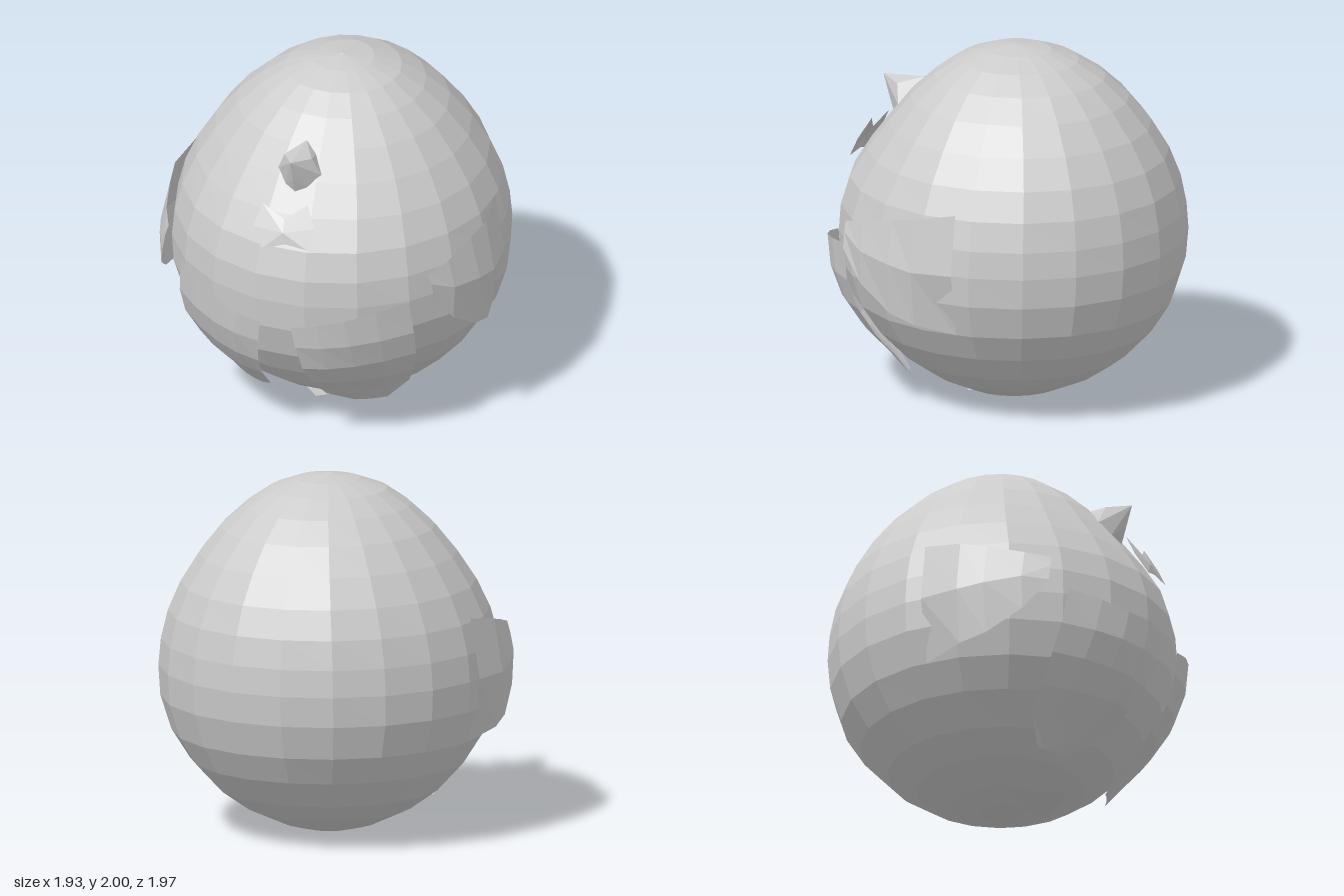
import * as THREE from 'three';
import { ConvexGeometry } from 'three/addons/geometries/ConvexGeometry.js';

const solid = new THREE.MeshStandardMaterial({ color: 0xcccccc, flatShading: true });
const sheet = new THREE.MeshStandardMaterial({ color: 0xcccccc, flatShading: true, side: THREE.DoubleSide });

function buildGeometry(points, index) {
  const g = new THREE.BufferGeometry();
  g.setAttribute('position', new THREE.Float32BufferAttribute(points.flat(), 3));
  g.setIndex(index);
  g.computeVertexNormals();
  return g;
}

// Surface through rows of points, top row first, each row running left to right
function loft(rows) {
  const n = rows[0].length, index = [];
  for (let j = 0; j < rows.length - 1; j++) {
    for (let i = 0; i < n - 1; i++) {
      const a = j * n + i, b = a + n;
      index.push(a, b, b + 1, a, b + 1, a + 1);
    }
  }
  return buildGeometry(rows.flat(), index);
}

function part(name, geometry, material) {
  const mesh = new THREE.Mesh(geometry, material);
  mesh.name = name;
  return mesh;
}

const mirror = rows => rows.map(r => r.map(([x, y, z]) => [-x, y, z]).reverse());

// Egg body rings: height, half width, back z, front z
const RINGS = [
  [2.0, 0.005, -0.035, -0.025], [1.975, 0.17, -0.24, 0.12], [1.92, 0.32, -0.39, 0.27],
  [1.83, 0.45, -0.54, 0.40], [1.71, 0.58, -0.67, 0.53], [1.56, 0.70, -0.79, 0.65],
  [1.4, 0.80, -0.885, 0.77], [1.24, 0.87, -0.945, 0.87], [1.08, 0.91, -0.975, 0.92],
  [0.93, 0.925, -0.985, 0.93], [0.76, 0.915, -0.97, 0.92], [0.57, 0.855, -0.91, 0.86],
  [0.41, 0.755, -0.81, 0.75], [0.25, 0.61, -0.66, 0.59], [0.14, 0.46, -0.50, 0.43],
  [0.05, 0.27, -0.30, 0.24], [0.01, 0.12, -0.15, 0.09], [0.005, 0.003, -0.033, -0.027],
];

function bodyRows() {
  const cz = -0.03, sides = 20;
  return RINGS.map(([y, w, back, front]) => {
    const row = [];
    for (let i = 0; i <= sides; i++) {
      const t = ((i + 0.5) / sides) * Math.PI * 2;
      const c = Math.cos(t), depth = c > 0 ? front - cz : cz - back;
      row.push([Math.sin(t) * w * 1.01, y, cz + c * depth * 1.01]);
    }
    return row;
  });
}

// Foot panel: inner and outer edge of each row, and the forward bulge between them
const FOOT = [
  [[0.09, 0.82, 0.99], [0.67, 0.945, 0.695], 0.08],
  [[0.11, 0.69, 0.97], [0.69, 0.74, 0.66], 0.08],
  [[0.13, 0.53, 0.91], [0.68, 0.58, 0.60], 0.07],
  [[0.145, 0.40, 0.81], [0.63, 0.42, 0.51], 0.06],
  [[0.165, 0.24, 0.63], [0.57, 0.30, 0.42], 0.04],
  [[0.27, 0.14, 0.47], [0.43, 0.15, 0.39], 0.01],
];

function footRows() {
  return FOOT.map(([a, b, bulge]) => [0, 0.25, 0.5, 0.75, 1].map(t => {
    const p = a.map((v, k) => v + (b[k] - v) * t);
    p[2] += bulge * 4 * t * (1 - t);
    return p;
  }));
}

// Flipper columns from front to back: z, then [x, y] of top, middle and bottom
const WING = [
  [0.635, [0.765, 1.11], [0.785, 1.05], [0.80, 0.96]],
  [0.50, [0.83, 1.14], [0.87, 0.98], [0.86, 0.79]],
  [0.30, [0.885, 1.19], [0.94, 0.95], [0.91, 0.66]],
  [0.15, [0.915, 1.225], [0.965, 0.93], [0.925, 0.62]],
  [-0.08, [0.88, 1.265], [0.935, 0.93], [0.86, 0.57]],
];

const wingRows = () => [1, 2, 3].map(k => WING.map(col => [...col[k], col[0]]));

function beakGeometry() {
  const pts = [[0, 1.72, 0.76], [0, 1.735, 0.51], [0, 1.6, 0.725], [0, 1.48, 0.68]];
  for (const s of [-1, 1]) {
    pts.push([s * 0.08, 1.70, 0.64], [s * 0.13, 1.59, 0.61], [s * 0.07, 1.52, 0.66], [s * 0.07, 1.68, 0.54]);
  }
  return new ConvexGeometry(pts.map(p => new THREE.Vector3(...p)));
}

// Bow: fan of facets around a slightly raised knot
function bowGeometry() {
  const outline = [[-0.18, 1.34], [-0.11, 1.24], [0.02, 1.28], [0.15, 1.27],
    [0.17, 1.38], [0.11, 1.49], [-0.01, 1.40], [-0.15, 1.46]];
  const pts = [[0, 1.34, 0.875], ...outline.map(([x, y]) => [x, y, 0.91 - (y - 1.24) * 0.52])];
  const index = outline.flatMap((_, i) => [0, i + 1, ((i + 1) % outline.length) + 1]);
  return buildGeometry(pts, index);
}

export function createModel() {
  const model = new THREE.Group();
  model.name = 'roundBird';
  model.add(part('body', loft(bodyRows()), solid));
  model.add(part('beak', beakGeometry(), solid));
  model.add(part('bow', bowGeometry(), sheet));

  const foot = footRows(), wing = wingRows();
  model.add(part('leftFoot', loft(foot), sheet), part('rightFoot', loft(mirror(foot)), sheet));
  model.add(part('leftWing', loft(wing), sheet), part('rightWing', loft(mirror(wing)), sheet));

  // Small flap under the belly
  const flap = [[0, 0.055, 0.37], [-0.2, 0.03, 0.15], [0, 0.01, 0.1], [0.2, 0.03, 0.15]];
  model.add(part('bellyFlap', buildGeometry(flap, [0, 1, 2, 0, 2, 3]), sheet));
  return model;
}
